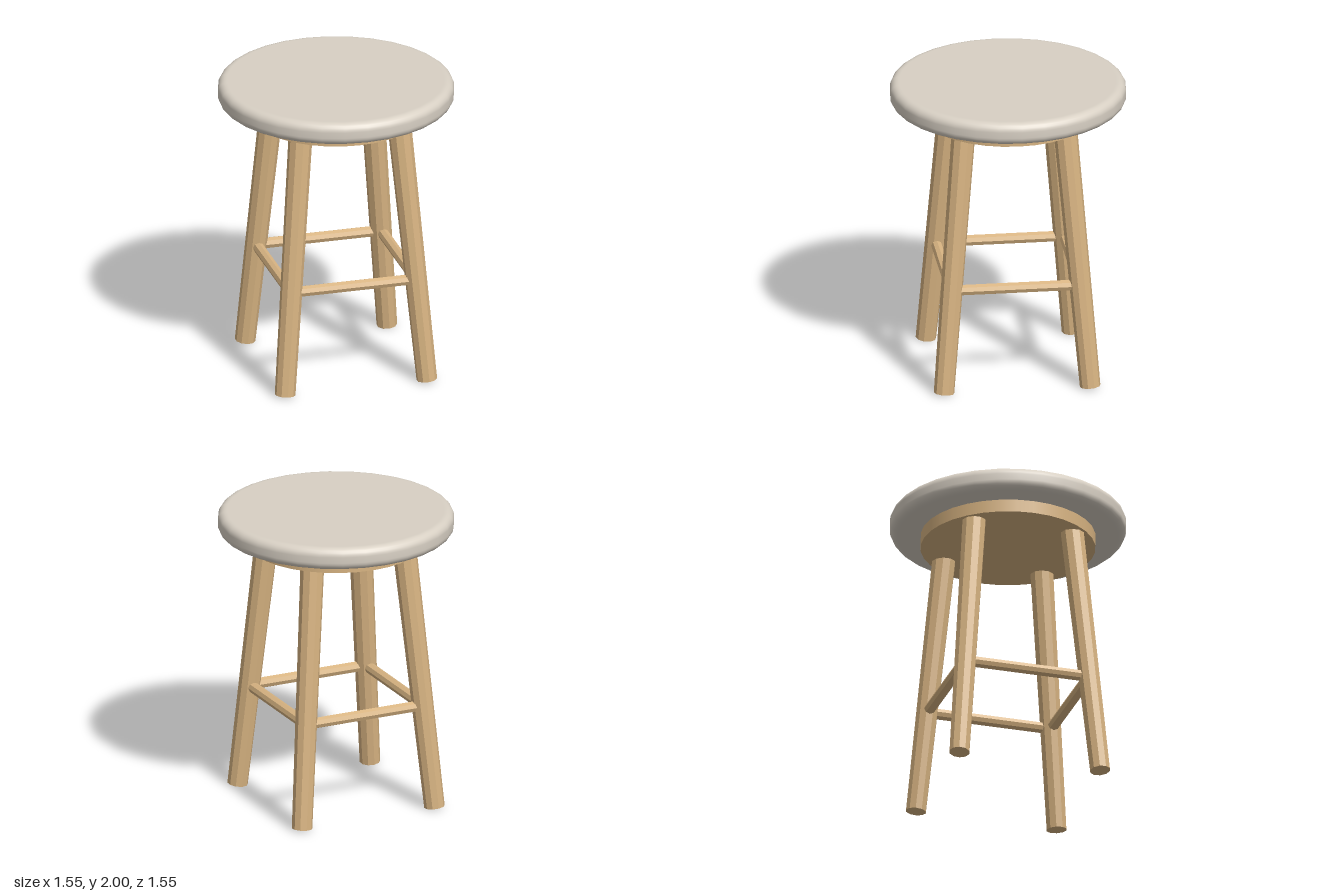
import * as THREE from 'three';

const wood = new THREE.MeshStandardMaterial({ color: 0xd8b482 });
const facetedWood = new THREE.MeshStandardMaterial({ color: 0xd8b482, flatShading: true });
const cushion = new THREE.MeshStandardMaterial({ color: 0xd8d0c4 });

// Faceted rod between two points
function rod(name, from, to, rFrom, rTo, sides) {
  const dir = to.clone().sub(from);
  const mesh = new THREE.Mesh(new THREE.CylinderGeometry(rTo, rFrom, dir.length(), sides), facetedWood);
  mesh.position.copy(from).add(to).multiplyScalar(0.5);
  mesh.quaternion.setFromUnitVectors(new THREE.Vector3(0, 1, 0), dir.normalize());
  mesh.name = name;
  return mesh;
}

export function createModel() {
  const group = new THREE.Group();
  group.name = 'stool';

  // Round seat with a softly rounded rim
  const R = 0.777, bottom = 1.85, top = 2, r = 0.055;
  const profile = [new THREE.Vector2(0, bottom), new THREE.Vector2(R - r - 0.01, bottom)];
  for (const [cy, start] of [[bottom + r, -Math.PI / 2], [top - r, 0]]) {
    for (let i = 0; i <= 6; i++) {
      const a = start + (i / 6) * Math.PI / 2;
      profile.push(new THREE.Vector2(R - r + r * Math.cos(a), cy + r * Math.sin(a)));
    }
  }
  profile.push(new THREE.Vector2(R - r - 0.01, top), new THREE.Vector2(0, top));
  const seat = new THREE.Mesh(new THREE.LatheGeometry(profile, 32), cushion);
  seat.name = 'seat';
  group.add(seat);

  // Disc that carries the legs
  const base = new THREE.Mesh(new THREE.CylinderGeometry(0.575, 0.575, 0.09, 32), wood);
  base.position.y = 1.81;
  base.name = 'seatBase';
  group.add(base);

  // Splayed legs, slightly thicker at the top
  const foot = 0.483, head = 0.335, footY = 0.008, headY = 1.8;
  for (const [side, sx] of [['Left', 1], ['Right', -1]]) {
    for (const [end, sz] of [['front', 1], ['back', -1]]) {
      group.add(rod(end + side + 'Leg',
        new THREE.Vector3(sx * foot, footY, sz * foot),
        new THREE.Vector3(sx * head, headY, sz * head), 0.068, 0.079, 10));
    }
  }

  // Four stretchers joining the leg centres
  const y = 0.705;
  const d = THREE.MathUtils.mapLinear(y, footY, headY, foot, head);
  for (const s of [1, -1]) {
    group.add(rod(s > 0 ? 'frontStretcher' : 'backStretcher',
      new THREE.Vector3(-d, y, s * d), new THREE.Vector3(d, y, s * d), 0.037, 0.037, 8));
    group.add(rod(s > 0 ? 'leftStretcher' : 'rightStretcher',
      new THREE.Vector3(s * d, y, -d), new THREE.Vector3(s * d, y, d), 0.037, 0.037, 8));
  }
  return group;
}
